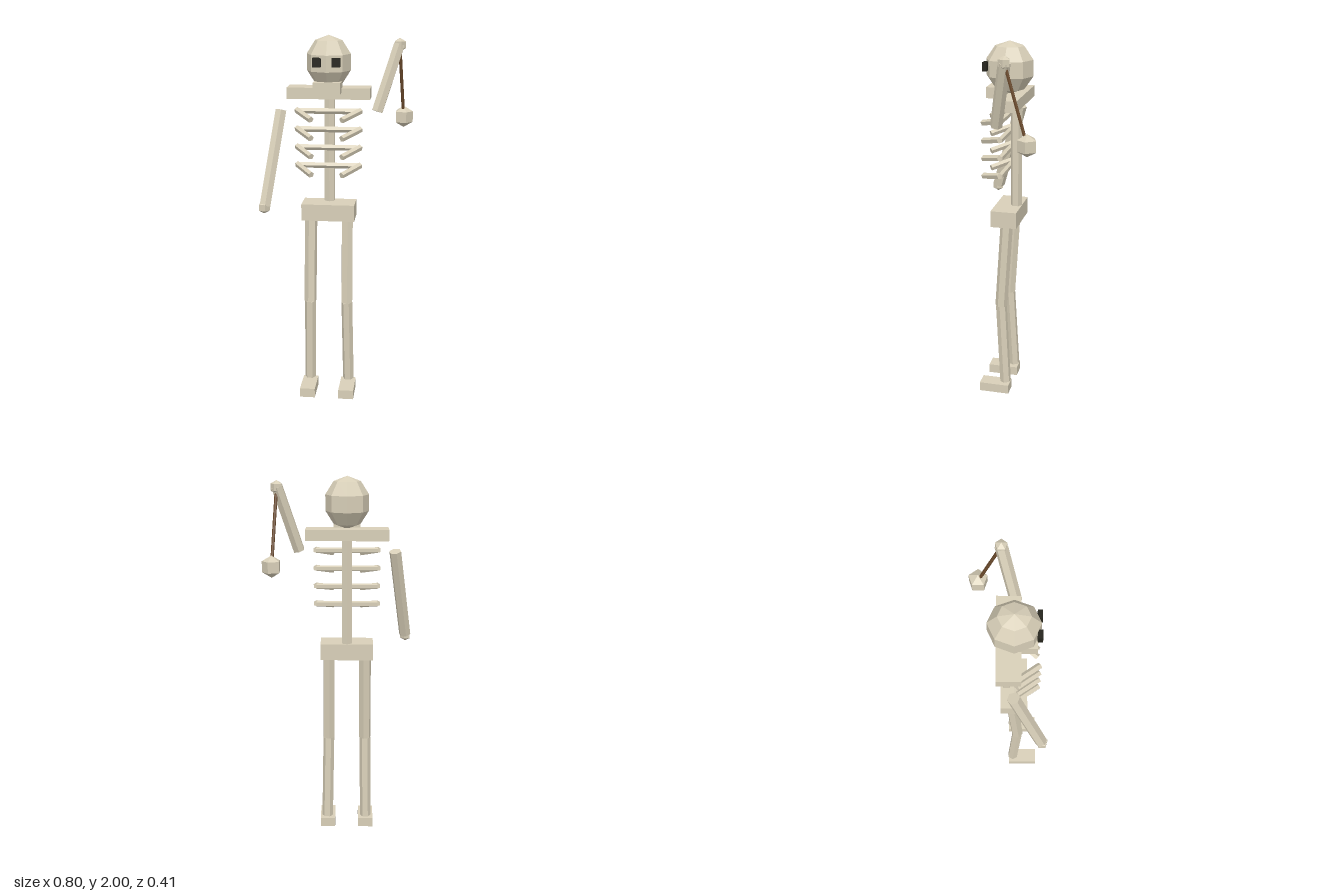
import * as THREE from 'three';

export function createModel() {
  const model = new THREE.Group();
  const bone = new THREE.MeshStandardMaterial({ color: 0xd8cfb8, flatShading: true });
  bone.name = 'bone';
  const dark = new THREE.MeshStandardMaterial({ color: 0x24231b, flatShading: true });
  dark.name = 'eyeDark';
  const brown = new THREE.MeshStandardMaterial({ color: 0x6b4a2c, flatShading: true });
  brown.name = 'brownCord';

  const add = (name, geometry, material, x = 0, y = 0, z = 0) => {
    const mesh = new THREE.Mesh(geometry, material);
    mesh.name = name;
    mesh.position.set(x, y, z);
    model.add(mesh);
    return mesh;
  };

  // Box given by its lower and upper corners
  const box = (name, [x0, y0, z0], [x1, y1, z1], material = bone) =>
    add(name, new THREE.BoxGeometry(x1 - x0, y1 - y0, z1 - z0), material,
      (x0 + x1) / 2, (y0 + y1) / 2, (z0 + z1) / 2);

  // Straight prism running between two points
  const rod = (name, a, b, radius, sides = 6, material = bone) => {
    const from = new THREE.Vector3(...a), to = new THREE.Vector3(...b);
    const dir = to.clone().sub(from);
    const mesh = add(name, new THREE.CylinderGeometry(radius, radius, dir.length(), sides), material);
    mesh.position.copy(from).add(to).multiplyScalar(0.5);
    mesh.quaternion.setFromUnitVectors(new THREE.Vector3(0, 1, 0), dir.normalize());
    return mesh;
  };

  // Five-sided knob with a corner towards +x
  const knob = (name, radius, x, y, z) =>
    add(name, new THREE.SphereGeometry(radius, 5, 3).rotateY(Math.PI), bone, x, y, z);

  const cx = -0.043; // centre line of the body

  // Head
  add('skull', new THREE.SphereGeometry(1, 8, 5).scale(0.121, 0.138, 0.1325), bone, cx, 1.862, 0.026);
  box('jaw', [-0.114, 1.708, 0.03], [0.028, 1.766, 0.137]);
  box('rightEye', [-0.114, 1.847, 0.133], [-0.071, 1.893, 0.157], dark);
  box('leftEye', [-0.015, 1.847, 0.133], [0.028, 1.893, 0.157], dark);

  // Trunk
  box('shoulders', [-0.263, 1.671, -0.06], [0.176, 1.73, 0.06]);
  rod('spine', [cx, 1.09, -0.011], [cx, 1.69, -0.011], 0.031);
  box('pelvis', [-0.186, 1.019, -0.042], [0.1, 1.109, 0.1]);

  // Ribs: a crossbar with an arm bent forward at each end
  for (let i = 0; i < 4; i++) {
    const y = 1.607 - i * 0.0973;
    rod('ribBack', [cx - 0.165, y, 0.04], [cx + 0.165, y, 0.04], 0.016, 5);
    for (const s of [-1, 1]) {
      rod('ribSide', [cx + s * 0.169, y + 0.003, 0.041], [cx + s * 0.08, y - 0.029, 0.152], 0.017, 5);
    }
  }

  // Legs
  const legs = [
    ['right', -0.143, -0.147, -0.153, -0.195],
    ['left', 0.056, 0.058, 0.066, 0.022],
  ];
  for (const [side, hip, knee, ankle, footX] of legs) {
    rod(side + 'Thigh', [hip, 1.03, 0.02], [knee, 0.54, 0.052], 0.034);
    rod(side + 'Shin', [knee, 0.54, 0.052], [ankle, 0.063, 0.027], 0.031);
    box(side + 'Foot', [footX, 0, 0.002], [footX + 0.084, 0.052, 0.171]);
  }

  // Lowered right arm
  rod('rightArm', [-0.3, 1.605, 0.024], [-0.37, 1.115, 0.172], 0.033);
  knob('rightHand', 0.035, -0.373, 1.11, 0.176);

  // Raised left arm, cord and hanging ball
  rod('leftArm', [0.213, 1.608, 0.035], [0.32, 1.95, -0.035], 0.032);
  knob('leftHand', 0.036, 0.322, 1.947, -0.035);
  rod('cord', [0.322, 1.947, -0.035], [0.346, 1.553, -0.155], 0.0085, 6, brown);
  knob('ball', 0.058, 0.346, 1.553, -0.155);

  return model;
}
